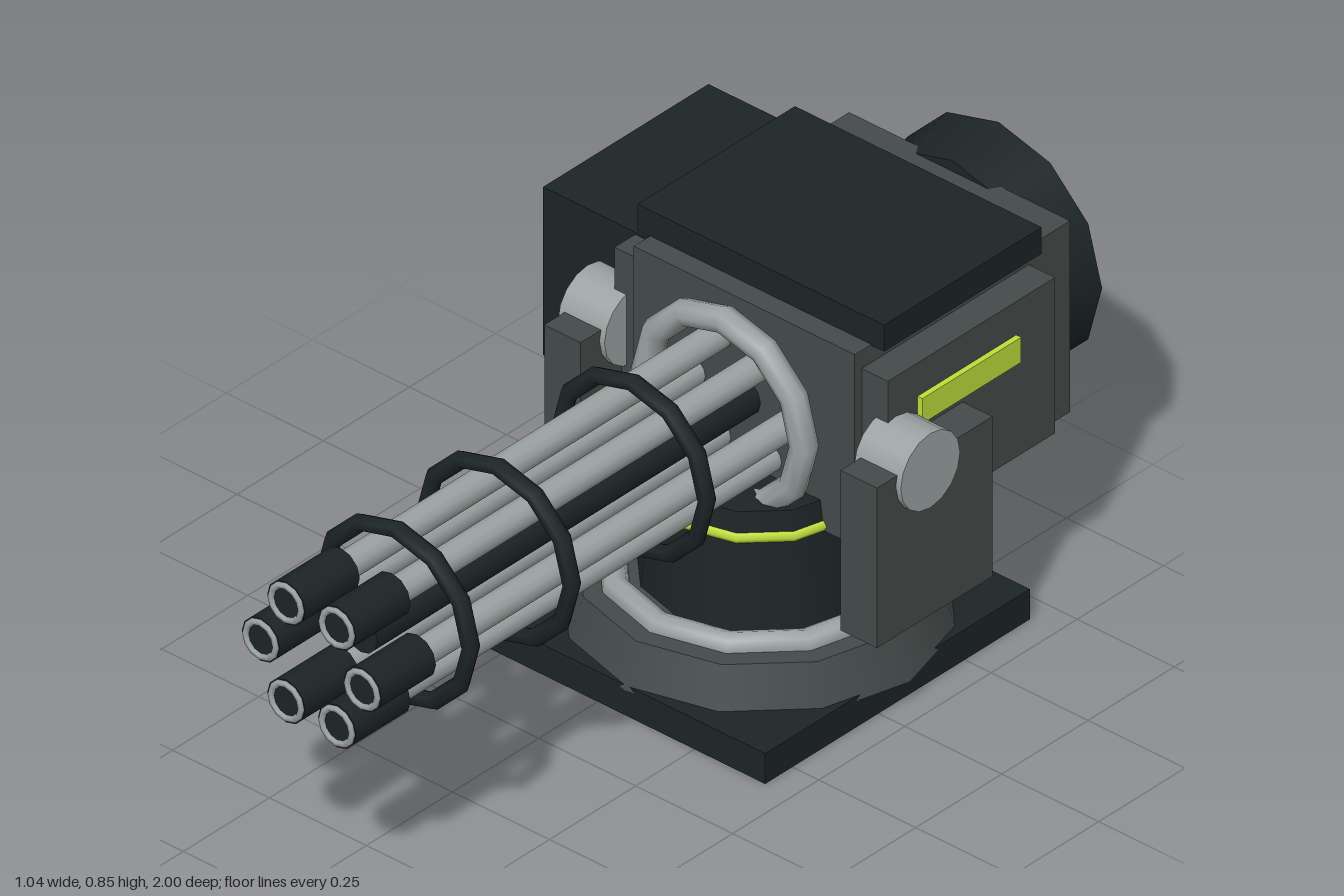
import * as THREE from 'three';

const paint = (color) => new THREE.MeshStandardMaterial({ color });
const CX = 0.075; // gun axis, x
const CY = 0.572; // gun axis, y
const BZ = -0.305; // turntable axis, z

export function createModel() {
  const model = new THREE.Group();
  model.name = 'rotaryGunTurret';
  const black = paint(0x1c2426), grey = paint(0x444b4a), silver = paint(0x9ba3a2), lime = paint(0xbfdc3a);

  const add = (name, geometry, material, x, y, z, parent = model) => {
    const mesh = new THREE.Mesh(geometry, material);
    mesh.name = name;
    mesh.position.set(x, y, z);
    parent.add(mesh);
    return mesh;
  };
  // Box given by its minimum and maximum corners
  const box = (name, material, a, b) => add(name,
    new THREE.BoxGeometry(b[0] - a[0], b[1] - a[1], b[2] - a[2]), material,
    (a[0] + b[0]) / 2, (a[1] + b[1]) / 2, (a[2] + b[2]) / 2);
  // Upright frustum on the turntable axis
  const drum = (name, material, rTop, rBottom, y0, y1) => add(name,
    new THREE.CylinderGeometry(rTop, rBottom, y1 - y0, 12), material, CX, (y0 + y1) / 2, BZ);
  // Frustum lying along z
  const rod = (name, material, rFront, rBack, z0, z1, x, y, sides = 12, parent = model) => add(name,
    new THREE.CylinderGeometry(rFront, rBack, z1 - z0, sides).rotateX(Math.PI / 2), material, x, y, (z0 + z1) / 2, parent);

  // Base and pedestal
  box('basePlate', black, [CX - 0.357, 0, BZ - 0.384], [CX + 0.357, 0.07, BZ + 0.384]);
  drum('baseSkirt', grey, 0.357, 0.389, 0.06, 0.16);
  add('baseRing', new THREE.TorusGeometry(0.29, 0.028, 8, 12).rotateX(Math.PI / 2), silver, CX, 0.163, BZ);
  drum('pedestal', black, 0.208, 0.242, 0.15, 0.417);
  add('pedestalRing', new THREE.TorusGeometry(0.212, 0.012, 6, 12).rotateX(Math.PI / 2), lime, CX, 0.361, BZ);

  // Housing
  box('housing', grey, [CX - 0.285, 0.35, -0.887], [CX + 0.285, 0.792, -0.262]);
  box('topPlate', black, [CX - 0.318, 0.79, -0.767], [CX + 0.318, 0.851, -0.31]);
  box('leftStripe', lime, [0.42, 0.615, -0.655], [0.44, 0.673, -0.368]);
  rod('rearMotor', black, 0.245, 0.267, -1, -0.865, CX, CY);

  // Side panels, yoke arms and pivots, mirrored about the gun axis
  for (const [side, s] of [['left', 1], ['right', -1]]) {
    add(side + 'Panel', new THREE.BoxGeometry(0.075, 0.36, 0.485), grey, CX + s * 0.315, 0.57, -0.525);
    add(side + 'YokeArm', new THREE.BoxGeometry(0.094, 0.37, 0.335), grey, CX + s * 0.382, 0.41, -0.332);
    add(side + 'Pivot', new THREE.CylinderGeometry(0.086, 0.086, 0.12, 16).rotateZ(Math.PI / 2),
      silver, CX + s * 0.382, CY, BZ);
  }

  // Ammunition box with cooling slats at its back
  box('ammoBox', black, [-0.515, 0.367, -0.822], [-0.248, 0.755, -0.342]);
  for (let i = 0; i < 4; i++) {
    const y = 0.405 + i * 0.0445;
    box('ammoBoxSlat', silver, [-0.52, y - 0.007, -0.836], [-0.244, y + 0.007, -0.815]);
  }

  // Barrel cluster
  const barrels = new THREE.Group();
  barrels.name = 'barrelCluster';
  model.add(barrels);
  add('barrelCollar', new THREE.TorusGeometry(0.204, 0.029, 8, 12), silver, CX, CY, -0.206, barrels);
  rod('barrelCore', black, 0.042, 0.042, -0.27, 0.85, CX, CY, 12, barrels);
  for (let i = 0; i < 6; i++) {
    const a = i * Math.PI / 3;
    const x = CX + 0.131 * Math.cos(a), y = CY + 0.131 * Math.sin(a);
    rod('barrel', silver, 0.031, 0.031, -0.27, 0.84, x, y, 12, barrels);
    rod('muzzle', black, 0.049, 0.049, 0.835, 0.993, x, y, 12, barrels);
    add('muzzleRing', new THREE.TorusGeometry(0.039, 0.008, 6, 12), silver, x, y, 0.992, barrels);
  }
  for (const z of [0.06, 0.452, 0.745]) {
    add('barrelClamp', new THREE.TorusGeometry(0.19, 0.019, 6, 12), black, CX, CY, z, barrels);
  }
  return model;
}
